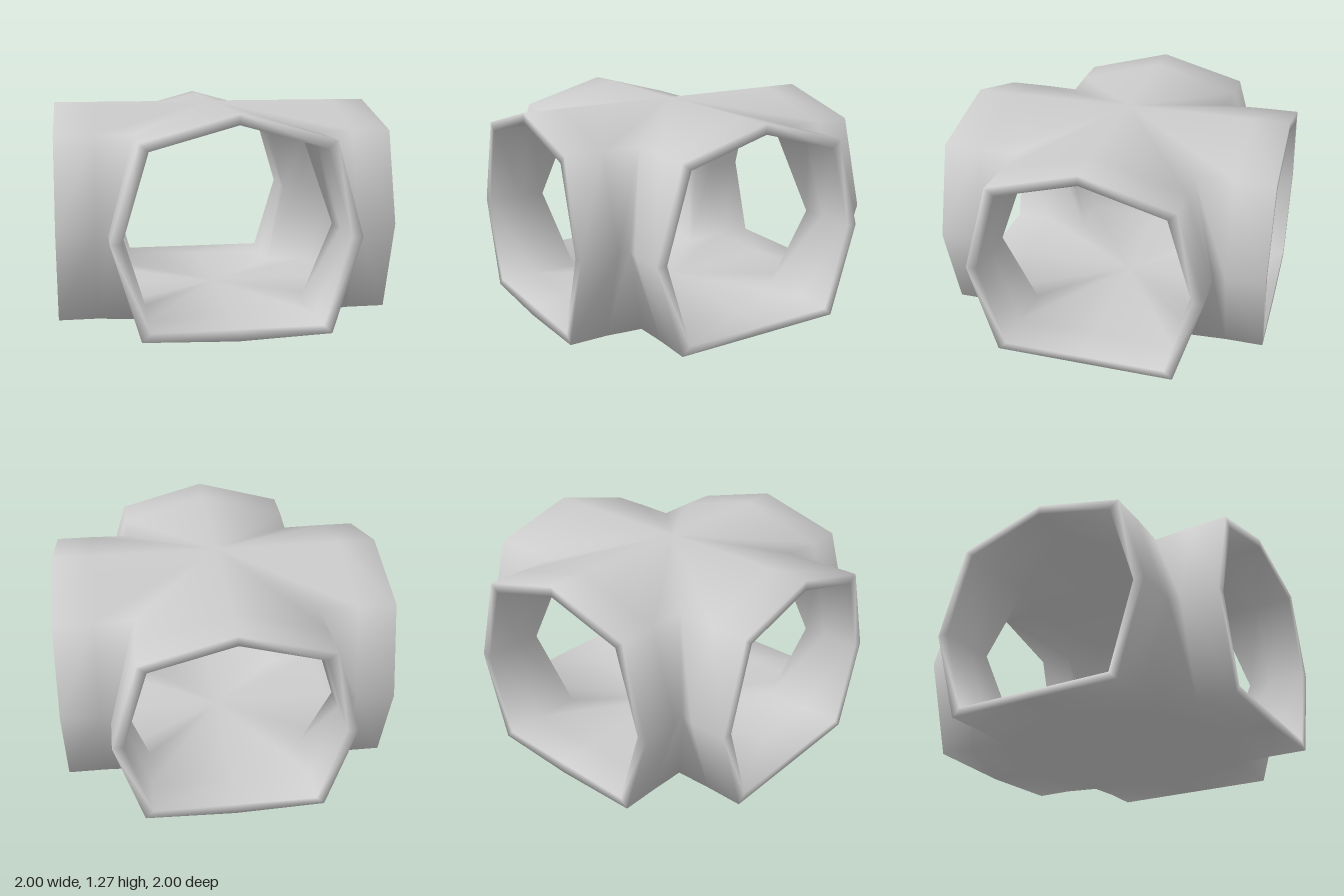
import * as THREE from 'three';
import { mergeVertices } from 'three/addons/utils/BufferGeometryUtils.js';

// Right half of the tunnel section, from ridge to floor middle: [x, y]
const outerHalf = [[0, 1.27], [0.545, 1.12], [0.705, 0.575], [0.54, 0.02], [0, 0.01]];
const innerHalf = [[0, 1.21], [0.49, 1.075], [0.64, 0.575], [0.49, 0.07], [0, 0.07]];

// Mirror the half section into a closed loop
const closeLoop = (half) => [...half, ...half.slice(1, -1).reverse().map(([x, y]) => [-x, y])];

// One ring of an arm; z === null gives the mitre where neighbouring arms meet
function ring(section, z, inside, alongX) {
  return section.map(([x, y]) => {
    if (z !== null) {
      const floor = !inside && y < 0.015;
      return [x, floor ? (alongX ? 0.02 : 0) : y, z];
    }
    // corners are pulled in slightly at the mitre
    const m = x * (inside ? 0.985 : 0.98);
    return [m, !inside && y < 0.1 ? 0 : y, Math.abs(m)];
  });
}

function createShell() {
  const outer = closeLoop(outerHalf), inner = closeLoop(innerHalf);
  const n = outer.length, position = [];
  for (let k = 0; k < 4; k++) {
    const alongX = k % 2 === 1;
    // From the centre along the outside, over the rim, and back inside
    const rings = [
      ring(outer, null, false, alongX),
      ring(outer, 0.77, false, alongX),
      ring(outer, 1, false, alongX),
      ring(inner, 1, true, alongX),
      ring(inner, 0.77, true, alongX),
      ring(inner, null, true, alongX),
    ];
    // Quarter turns place the four arms
    const c = [1, 0, -1, 0][k], s = [0, 1, 0, -1][k];
    const put = ([x, y, z]) => position.push(c * x + s * z, y, c * z - s * x);
    for (let r = 0; r < rings.length - 1; r++) {
      for (let i = 0; i < n; i++) {
        const j = (i + 1) % n;
        const a = rings[r][i], b = rings[r][j], e = rings[r + 1][j], d = rings[r + 1][i];
        // mirrored diagonals keep both halves symmetrical
        const tris = i < n / 2 ? [a, d, e, a, e, b] : [a, d, b, d, e, b];
        tris.forEach(put);
      }
    }
  }
  let geometry = new THREE.BufferGeometry();
  geometry.setAttribute('position', new THREE.Float32BufferAttribute(position, 3));
  geometry = mergeVertices(geometry, 1e-4);
  geometry.computeVertexNormals();
  return geometry;
}

export function createModel() {
  const group = new THREE.Group();
  group.name = 'tunnelJunction';
  const material = new THREE.MeshStandardMaterial({ color: 0xcccccc });
  const shell = new THREE.Mesh(createShell(), material);
  shell.name = 'fourWayTunnelShell';
  group.add(shell);
  return group;
}
